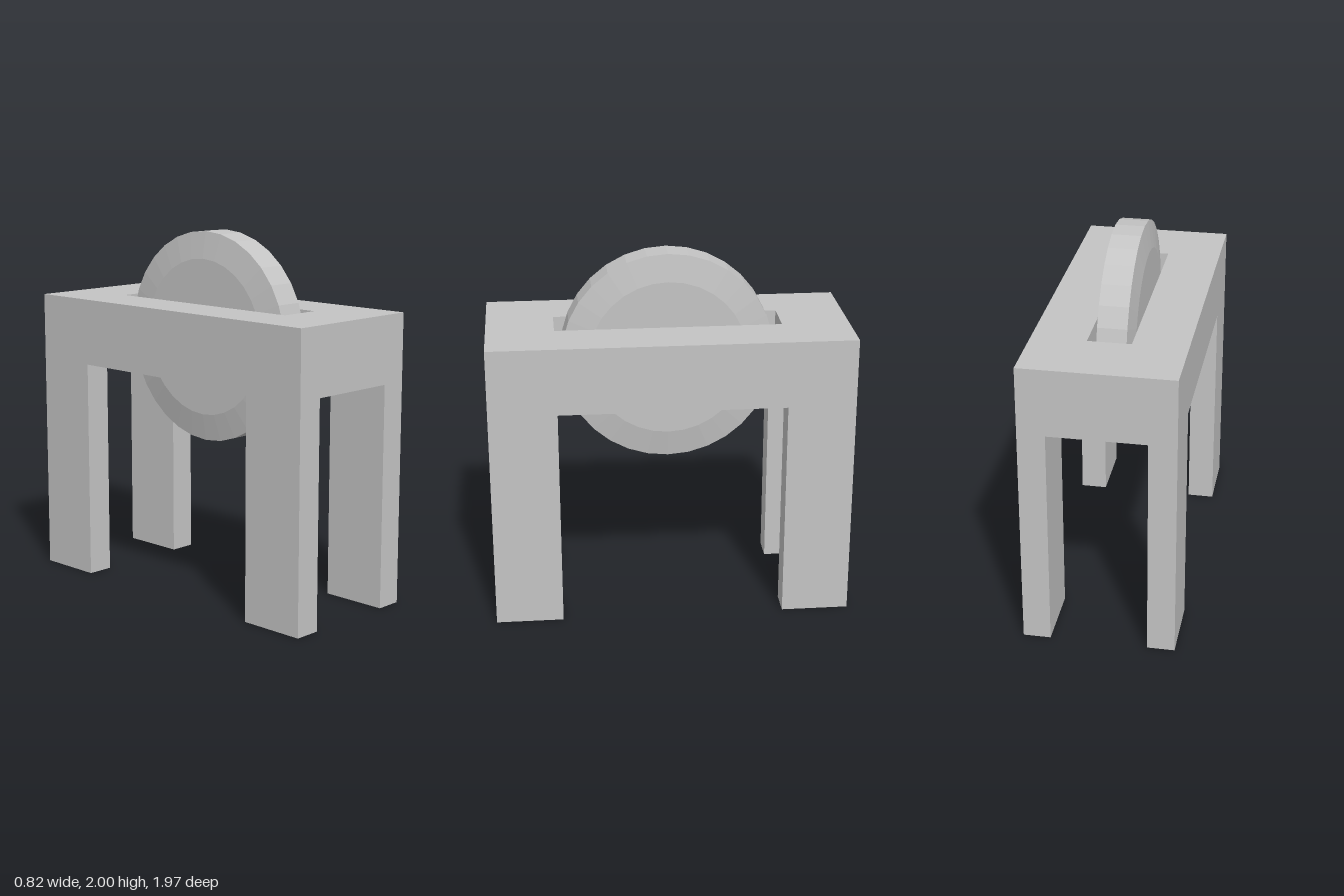
import * as THREE from 'three';

const HALF_W = 0.41, HALF_L = 0.985;      // frame footprint
const SLAB_BOTTOM = 1.23, SLAB_TOP = 1.6;
const LEG_W = 0.148, LEG_L = 0.37;
const SLOT_W = 0.116, SLOT_L = 0.617;     // half sizes of the wheel slot
const AXLE_Y = 1.418;

function rectangle(path, w, l) {
  path.moveTo(-w, -l);
  path.lineTo(w, -l);
  path.lineTo(w, l);
  path.lineTo(-w, l);
  path.closePath();
  return path;
}

export function createModel() {
  const model = new THREE.Group();
  model.name = 'wheelStand';
  const grey = new THREE.MeshStandardMaterial({ color: 0xc4c4c4, flatShading: true });
  grey.name = 'grey';

  const add = (name, geometry, x = 0, y = 0, z = 0) => {
    const mesh = new THREE.Mesh(geometry, grey);
    mesh.name = name;
    mesh.position.set(x, y, z);
    model.add(mesh);
    return mesh;
  };

  // Slab with a through slot for the wheel
  const outline = rectangle(new THREE.Shape(), HALF_W, HALF_L);
  outline.holes.push(rectangle(new THREE.Path(), SLOT_W, SLOT_L));
  const slab = new THREE.ExtrudeGeometry(outline, {
    depth: SLAB_TOP - SLAB_BOTTOM, bevelEnabled: false,
  });
  slab.rotateX(-Math.PI / 2);
  add('slab', slab, 0, SLAB_BOTTOM, 0);

  // Four corner legs
  for (const [sx, side] of [[1, 'Left'], [-1, 'Right']]) {
    for (const [sz, end] of [[1, 'front'], [-1, 'back']]) {
      add(`${end}${side}Leg`, new THREE.BoxGeometry(LEG_W, SLAB_BOTTOM, LEG_L),
        sx * (HALF_W - LEG_W / 2), SLAB_BOTTOM / 2, sz * (HALF_L - LEG_L / 2));
    }
  }

  // Wheel with tapered sides, turning about the x axis
  const profile = [
    [0, -0.104], [0.433, -0.104], [0.582, -0.079],
    [0.582, 0.079], [0.433, 0.104], [0, 0.104],
  ].map(([r, y]) => new THREE.Vector2(r, y));
  const wheel = new THREE.LatheGeometry(profile, 32);
  wheel.rotateZ(Math.PI / 2);
  add('wheel', wheel, 0, AXLE_Y, 0);

  // Axle bridging the slot walls
  const axle = new THREE.CylinderGeometry(0.033, 0.033, 2 * SLOT_W + 0.02, 32);
  axle.rotateZ(Math.PI / 2);
  add('axle', axle, 0, AXLE_Y, 0);

  return model;
}
